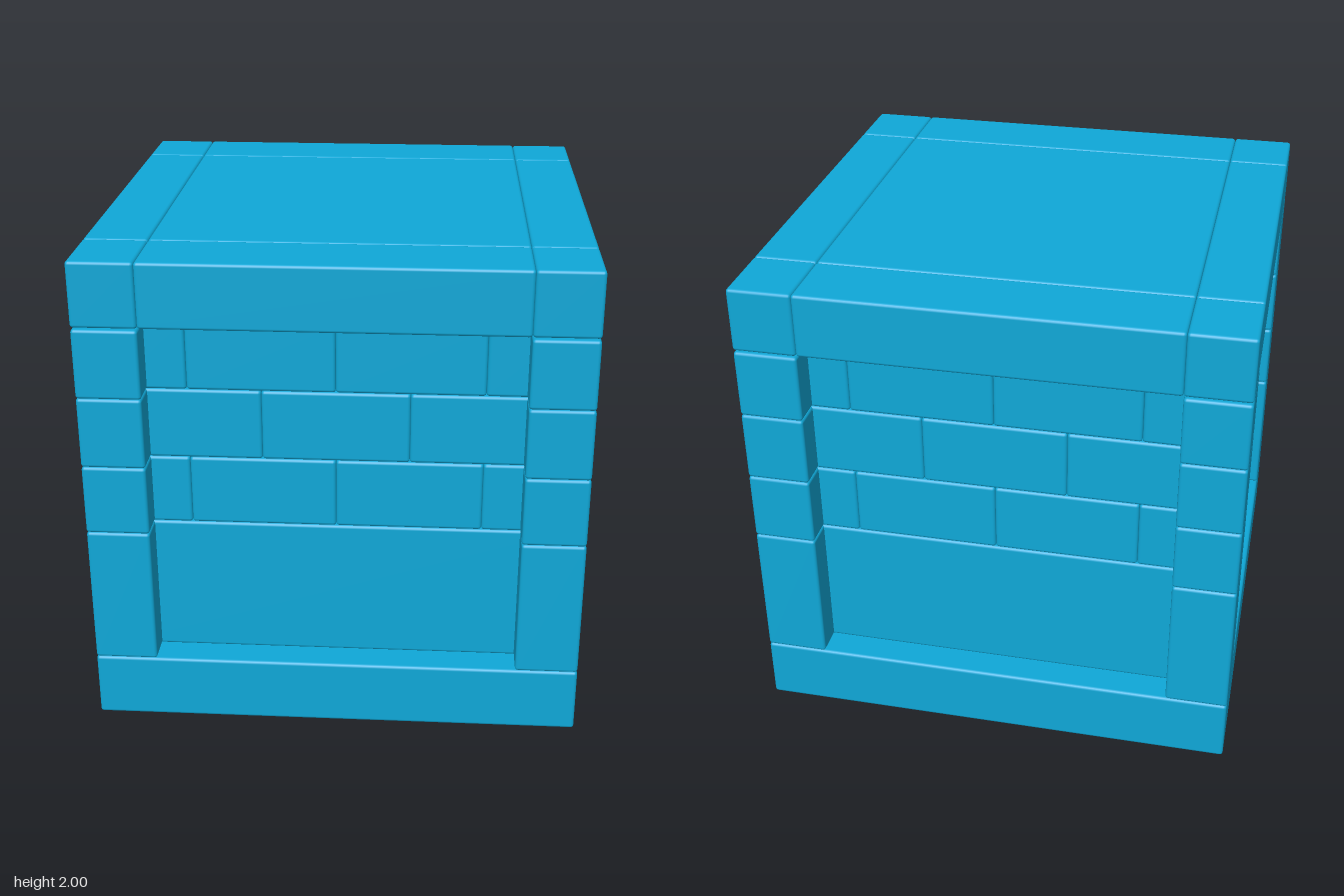
import * as THREE from 'three';
import { RoundedBoxGeometry } from 'three/addons/geometries/RoundedBoxGeometry.js';

export function createModel() {
  const model = new THREE.Group();
  model.name = 'brickBlock';
  const material = new THREE.MeshStandardMaterial({ color: 0x0fa8d8 });

  // Softly bevelled block spanning the given ranges
  function block(parent, name, [x0, x1], [y0, y1], [z0, z1]) {
    const geometry = new RoundedBoxGeometry(x1 - x0, y1 - y0, z1 - z0, 2, 0.013);
    const mesh = new THREE.Mesh(geometry, material);
    mesh.position.set((x0 + x1) / 2, (y0 + y1) / 2, (z0 + z1) / 2);
    mesh.name = name;
    parent.add(mesh);
  }
  function group(name) {
    const g = new THREE.Group();
    g.name = name;
    model.add(g);
    return g;
  }

  const PX = 0.743, PZ = 0.702; // inner edges of the corner posts
  const W = 0.88;               // outer face of the recessed walls
  const T = 0.293;              // wall thickness, half a brick
  const rows = [0.275, 0.862, 1.153, 1.446, 1.73];

  // Foundation and plain lower wall
  block(model, 'baseSlab', [-1, 1], [0, 0.275], [-1, 1]);
  block(model, 'lowerWall', [-W, W], [rows[0], rows[1]], [-W, W]);

  // Corner posts of stacked stones
  const posts = group('cornerPosts');
  for (const x of [[-1, -PX], [PX, 1]])
    for (const z of [[-1, -PZ], [PZ, 1]])
      for (let i = 0; i < 4; i++)
        block(posts, 'postStone', x, [rows[i], rows[i + 1]], z);

  // Three brick courses in running bond on all four sides
  const bricks = group('brickCourses');
  for (let i = 1; i < 4; i++) {
    const joints = i === 2 ? [-W, -T, T, W] : [-W, -2 * T, 0, 2 * T, W];
    const y = [rows[i], rows[i + 1]];
    for (let j = 0; j + 1 < joints.length; j++) {
      const span = [joints[j], joints[j + 1]];
      for (const depth of [[-W, T - W], [W - T, W]]) {
        block(bricks, 'brick', span, y, depth);
        // Side walls share the corner bricks of the front and back
        if (j > 0 && j + 2 < joints.length) block(bricks, 'brick', depth, y, span);
      }
    }
    // Long corner bricks return along the sides in the middle course
    if (i === 2)
      for (const x of [[-W, T - W], [W - T, W]])
        for (const z of [[-W, -T], [T, W]]) block(bricks, 'cornerBrick', x, y, z);
  }

  // Flush top: corner stones, edge beams and centre panel
  const top = group('topFrame');
  const xs = [-1, -PX, PX, 1], zs = [-1, -PZ, PZ, 1];
  for (let i = 0; i < 3; i++)
    for (let k = 0; k < 3; k++) {
      const name = ['topCorner', 'topBeam', 'topPanel'][(i === 1) + (k === 1)];
      block(top, name, [xs[i], xs[i + 1]], [1.737, 2], [zs[k], zs[k + 1]]);
    }

  return model;
}
